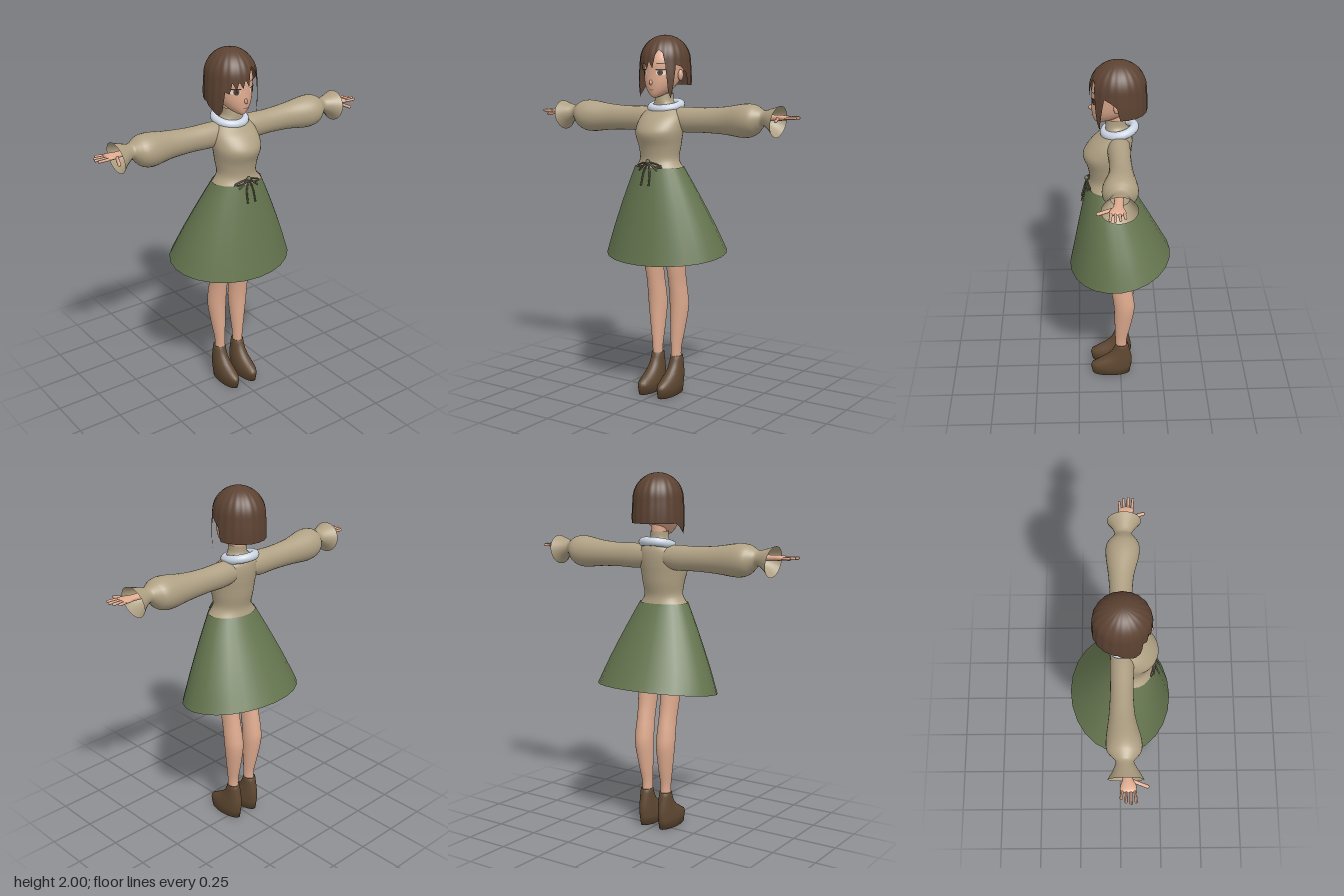
import * as THREE from 'three';

const mat = (name, color, side = THREE.FrontSide) => {
  const m = new THREE.MeshStandardMaterial({ color, side });
  m.name = name;
  return m;
};

// Ring: [s, centreU, centreV, radiusU, radiusV, tilt]; value at fractional index t, Catmull-Rom
function ringAt(rings, t, smooth) {
  const last = rings.length - 1, i = Math.min(Math.floor(t), last - 1), f = t - i;
  const r = k => rings[Math.max(0, Math.min(last, k))];
  return [0, 1, 2, 3, 4, 5].map(k => {
    const [a, b, c, d] = [r(i - 1), r(i), r(i + 1), r(i + 2)].map(q => q[k] || 0);
    if (!smooth) return b + (c - b) * f;
    return b + 0.5 * f * (c - a + f * (2 * a - 5 * b + 4 * c - d + f * (3 * (b - c) + d - a)));
  });
}

// Joins a grid of points into a surface closed around its columns
function gridSurface(rows, cols, point) {
  const pos = [], index = [];
  for (let i = 0; i <= rows; i++)
    for (let j = 0; j < cols; j++) pos.push(...point(i / rows, (j / cols) * Math.PI * 2));
  for (let i = 0; i < rows; i++)
    for (let j = 0; j < cols; j++) {
      const k = (j + 1) % cols, a = i * cols + j, b = i * cols + k, c = a + cols, d = b + cols;
      index.push(a, b, d, a, d, c);
    }
  const g = new THREE.BufferGeometry();
  g.setAttribute('position', new THREE.Float32BufferAttribute(pos, 3));
  g.setIndex(index);
  g.computeVertexNormals();
  return g;
}

// Elliptical loft along y (u = x, v = z) or along x (u = z, v = y)
function loft(rings, { axis = 'y', cols = 28, steps = 4, smooth = true } = {}) {
  return gridSurface((rings.length - 1) * steps, cols, (t, a) => {
    const [s, cu, cv, ru, rv, tilt] = ringAt(rings, t * (rings.length - 1), smooth);
    const u = cu + ru * Math.sin(a), v = cv + rv * Math.cos(a), w = s + tilt * Math.cos(a);
    return axis === 'y' ? [u, w, v] : [w, v, u];
  });
}

// Ring from front and back depth
const fb = (y, rx, front, back, x = 0) => [y, x, (front + back) / 2, rx, (front - back) / 2];

function mirrored(geo) {
  const g = geo.clone().scale(-1, 1, 1), ix = g.index.array;
  for (let i = 0; i < ix.length; i += 3) [ix[i], ix[i + 1]] = [ix[i + 1], ix[i]];
  g.computeVertexNormals();
  return g;
}

function capsule(from, to, r) {
  const a = new THREE.Vector3(...from), b = new THREE.Vector3(...to), d = b.clone().sub(a);
  const g = new THREE.CapsuleGeometry(r, d.length(), 4, 8);
  g.applyQuaternion(new THREE.Quaternion().setFromUnitVectors(new THREE.Vector3(0, 1, 0), d.normalize()));
  return g.translate((a.x + b.x) / 2, (a.y + b.y) / 2, (a.z + b.z) / 2);
}

const HEAD = [
  fb(1.664, 0.004, 0.122, 0.1), fb(1.672, 0.024, 0.134, 0.07), fb(1.69, 0.048, 0.142, 0.02),
  fb(1.715, 0.07, 0.147, -0.02), fb(1.75, 0.088, 0.15, -0.06), fb(1.8, 0.1, 0.148, -0.09),
  fb(1.86, 0.105, 0.145, -0.1), fb(1.92, 0.09, 0.12, -0.09), fb(1.955, 0.055, 0.08, -0.05),
  fb(1.97, 0.002, 0.02, 0.016),
];

function faceZ(x, y) {
  const i = Math.max(0, HEAD.findIndex(r => r[0] > y) - 1);
  const [, , c, rx, rz] = ringAt(HEAD, i + (y - HEAD[i][0]) / (HEAD[i + 1][0] - HEAD[i][0]), false);
  return c + rz * Math.sqrt(Math.max(0, 1 - (x / rx) ** 2));
}

// Thin oval following the face
function facePlate(cx, cy, rx, ry, lift) {
  const g = new THREE.CircleGeometry(1, 20), p = g.attributes.position;
  for (let i = 0; i < p.count; i++) {
    const x = cx + p.getX(i) * rx, y = cy + p.getY(i) * ry;
    p.setXYZ(i, x, y, faceZ(x, y) + lift);
  }
  g.computeVertexNormals();
  return g;
}

// Hem height of the hair by angle from the front, in degrees towards +x
const HEM = [
  [-180, 1.73], [-100, 1.73], [-84, 1.7], [-63, 1.665], [-54, 1.7], [-48, 1.8], [-39, 1.79], [-33, 1.85],
  [-24, 1.81], [-18, 1.855], [-9, 1.815], [-3, 1.86], [6, 1.82], [12, 1.89], [20, 1.92], [30, 1.9], [36, 1.84],
  [42, 1.7], [48, 1.66], [54, 1.74], [60, 1.84], [72, 1.83], [87, 1.8], [93, 1.73], [180, 1.73],
];
function hemAt(deg) {
  const i = Math.max(1, HEM.findIndex(h => h[0] >= deg)), [a, ya] = HEM[i - 1], [b, yb] = HEM[i];
  return ya + ((yb - ya) * (deg - a)) / (b - a);
}

function hairShell() {
  return gridSurface(24, 120, (t, a) => {
    const deg = a > Math.PI ? (a * 180) / Math.PI - 360 : (a * 180) / Math.PI;
    const hem = hemAt(deg), top = Math.max(1.86, hem);
    // the grid rises from the hem to the crown
    let y, r;
    if (t < 0.4) {
      y = hem + (top - hem) * (t / 0.4);
    } else {
      y = top + (2 - top) * Math.sin(((t - 0.4) / 0.6) * Math.PI / 2);
    }
    if (y > 1.86) r = Math.sqrt(Math.max(0.00001, 1 - ((y - 1.86) / 0.14) ** 2));
    else r = 1 + 0.035 * Math.sin(((1.86 - y) / 0.2) * Math.PI);
    r *= 1 + 0.01 * Math.cos(a * 20);
    return [0.134 * r * Math.sin(a), y, 0.012 + 0.146 * r * Math.cos(a)];
  });
}

export function createModel() {
  const model = new THREE.Group();
  const skin = mat('skin', 0xdfab8f), hair = mat('hair brown', 0x5c4232, THREE.DoubleSide);
  const knit = mat('beige knit', 0xb0a184, THREE.DoubleSide), green = mat('skirt green', 0x65754f, THREE.DoubleSide);
  const leather = mat('boot brown', 0x5e4731), ring = mat('collar white', 0xccd5e3);
  const cord = mat('ribbon olive', 0x6a6650), white = mat('eye white', 0xf0e8e2);
  const dark = mat('eye dark', 0x3c2a20), lip = mat('lip', 0xb5705f);

  const add = (name, geo, m) => {
    const mesh = new THREE.Mesh(geo, m);
    mesh.name = name;
    model.add(mesh);
    return mesh;
  };
  const pair = (name, geo, m) => {
    add(name + 'Left', geo, m);
    add(name + 'Right', mirrored(geo), m);
  };

  // Head and face
  add('head', loft(HEAD, { cols: 36 }), skin);
  add('neck', loft([fb(1.6, 0.04, 0.065, -0.02), fb(1.76, 0.04, 0.065, -0.03)]), skin);
  add('nose', new THREE.SphereGeometry(1, 12, 8).scale(0.008, 0.014, 0.015).translate(0, 1.745, 0.15), skin);
  add('mouth', facePlate(0, 1.706, 0.014, 0.003, 0.004), lip);
  pair('ear', new THREE.SphereGeometry(1, 12, 10).scale(0.014, 0.03, 0.018).translate(0.104, 1.785, 0.02), skin);
  pair('eyeWhite', facePlate(0.051, 1.797, 0.022, 0.015, 0.003), white);
  pair('iris', facePlate(0.05, 1.797, 0.013, 0.016, 0.006), hair);
  pair('pupil', facePlate(0.05, 1.798, 0.006, 0.009, 0.008), dark);
  pair('lash', facePlate(0.052, 1.813, 0.025, 0.004, 0.008), dark);
  pair('brow', facePlate(0.05, 1.845, 0.022, 0.003, 0.004), hair);
  add('hair', hairShell(), hair);

  // Jumper with high neck
  add('jumper', loft([
    fb(1.28, 0.145, 0.18, -0.04), fb(1.33, 0.112, 0.166, -0.03), fb(1.4, 0.119, 0.176, -0.045),
    fb(1.46, 0.13, 0.198, -0.054), fb(1.5, 0.134, 0.19, -0.06), fb(1.55, 0.13, 0.152, -0.064),
    fb(1.59, 0.112, 0.105, -0.06), fb(1.62, 0.075, 0.08, -0.045), fb(1.645, 0.051, 0.078, -0.03),
    fb(1.685, 0.048, 0.075, -0.03),
  ], { cols: 36 }), knit);
  add('collarRing', new THREE.TorusGeometry(0.08, 0.024, 14, 40)
    .rotateX(Math.PI / 2 + 0.21).translate(0, 1.617, 0.005), ring);

  // Puffed sleeves with flared cuffs
  pair('sleeve', loft([
    [0.05, 0.01, 1.55, 0.058, 0.058], [0.13, 0.01, 1.545, 0.061, 0.069], [0.25, 0.008, 1.545, 0.058, 0.067],
    [0.38, 0.008, 1.547, 0.066, 0.074], [0.5, 0.016, 1.55, 0.088, 0.089], [0.56, 0.018, 1.555, 0.086, 0.081],
    [0.595, 0.02, 1.562, 0.062, 0.057], [0.62, 0.02, 1.567, 0.045, 0.04], [0.66, 0.024, 1.56, 0.062, 0.056],
    [0.704, 0.025, 1.551, 0.09, 0.082, 0.012],
  ], { axis: 'x' }), knit);

  // Hands
  pair('palm', loft([
    [0.61, 0.025, 1.57, 0.022, 0.018], [0.7, 0.032, 1.572, 0.024, 0.015], [0.735, 0.036, 1.573, 0.037, 0.014],
    [0.765, 0.036, 1.574, 0.039, 0.01], [0.777, 0.036, 1.574, 0.004, 0.002],
  ], { axis: 'x', cols: 16 }), skin);
  [0.802, 0.82, 0.828, 0.82].forEach((tip, i) => {
    const z = 0.007 + i * 0.02;
    pair('finger' + (i + 1), capsule([0.755, 1.573, z], [tip, 1.575, z + (i - 1.5) * 0.004], 0.0075), skin);
  });
  pair('thumb', capsule([0.715, 1.568, 0.055], [0.742, 1.56, 0.128], 0.009), skin);

  // Flared skirt, lower in front, over shorts
  add('skirt', loft([
    [0.808, 0, 0.002, 0.358, 0.283, -0.0375], [0.93, 0, 0.019, 0.312, 0.24, -0.028],
    [1.05, 0, 0.036, 0.26, 0.198, -0.018], [1.17, 0, 0.053, 0.204, 0.155, -0.008], [1.29, 0, 0.07, 0.144, 0.112, 0],
  ], { cols: 24 }), green);
  pair('shortsLeg', loft([
    [0.92, 0.074, 0.035, 0.07, 0.082], [1.05, 0.072, 0.045, 0.074, 0.09], [1.2, 0.065, 0.06, 0.075, 0.09],
  ]), green);

  // Tied ribbon at the waist
  const ribbon = (pts, r = 0.0045) => new THREE.TubeGeometry(new THREE.CatmullRomCurve3(
    pts.map(([x, y]) => new THREE.Vector3(x, y, 0.178 + (1.33 - y) * 0.27 - x * x * 4))), 20, r, 6);
  pair('bowLoop', ribbon([[0, 1.32], [0.045, 1.312], [0.08, 1.295], [0.04, 1.297], [0, 1.318]]), cord);
  pair('bowEnd', ribbon([[0, 1.32], [0.035, 1.295], [0.06, 1.275]]), cord);
  pair('bowTail', ribbon([[0, 1.32], [0.02, 1.265], [0.025, 1.195]]), cord);
  add('bowKnot', new THREE.SphereGeometry(0.012, 10, 8).translate(0, 1.323, 0.183), cord);

  // Legs and boots
  pair('leg', loft([
    [0.17, 0.063, -0.005, 0.028, 0.033], [0.25, 0.063, -0.003, 0.028, 0.034], [0.35, 0.067, -0.012, 0.038, 0.046],
    [0.48, 0.072, -0.021, 0.05, 0.059], [0.56, 0.073, -0.014, 0.05, 0.06], [0.64, 0.073, 0, 0.047, 0.06],
    [0.72, 0.074, 0.015, 0.05, 0.062], [0.85, 0.074, 0.03, 0.058, 0.07], [1, 0.074, 0.04, 0.066, 0.078],
    [1.15, 0.07, 0.05, 0.068, 0.084],
  ]), skin);
  pair('boot', loft([
    fb(0.001, 0.001, 0.06, 0.058, 0.064), fb(0, 0.042, 0.168, -0.055, 0.064), fb(0.05, 0.046, 0.178, -0.063, 0.064),
    fb(0.07, 0.046, 0.172, -0.067, 0.064), fb(0.095, 0.044, 0.13, -0.067, 0.064), fb(0.12, 0.041, 0.09, -0.065, 0.064),
    fb(0.15, 0.038, 0.058, -0.059, 0.064), fb(0.19, 0.036, 0.037, -0.05, 0.064), fb(0.213, 0.034, 0.031, -0.045, 0.064),
    fb(0.213, 0.027, 0.025, -0.038, 0.064),
  ], { smooth: false, steps: 1 }), leather);

  return model;
}
